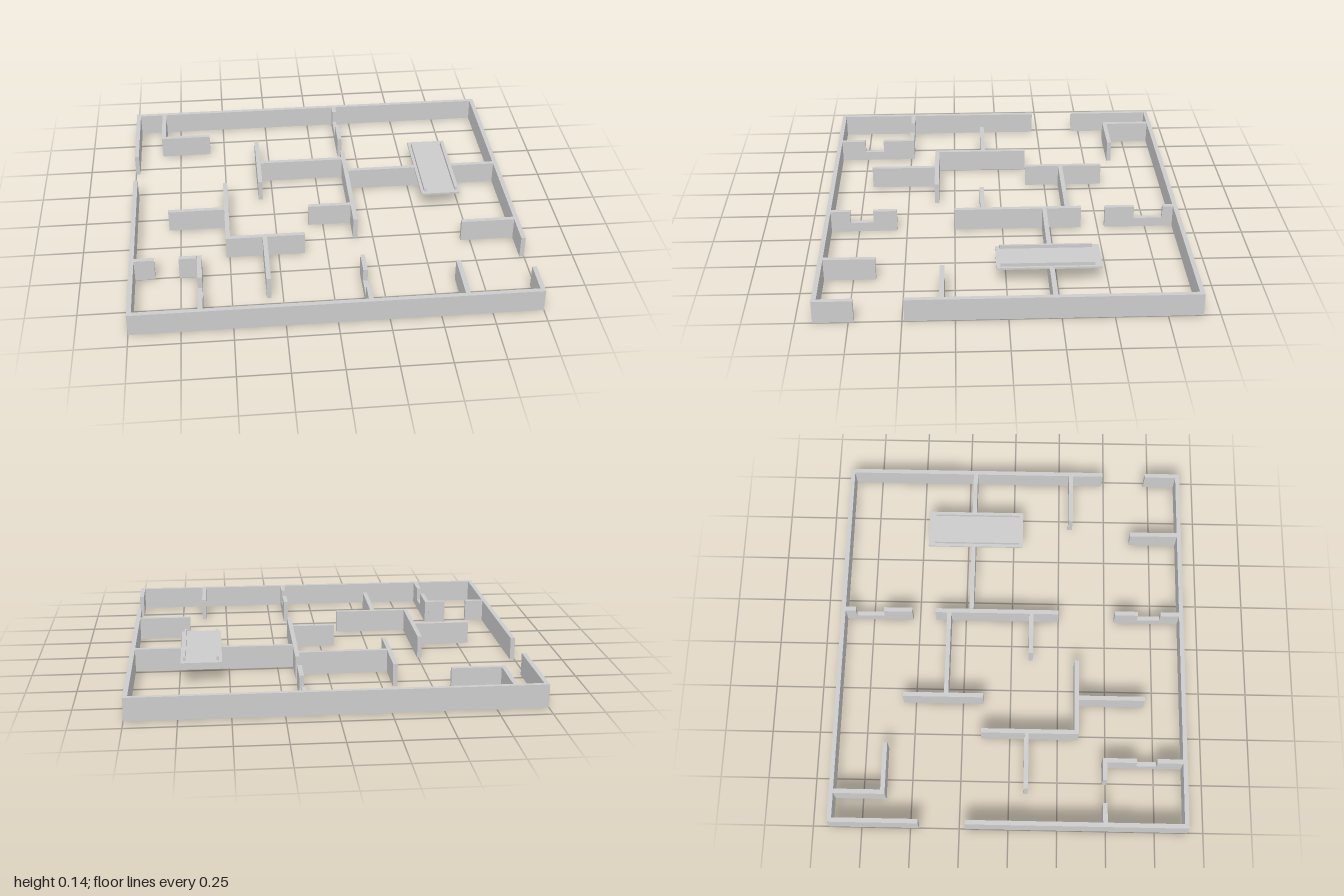
import * as THREE from 'three';

const HEIGHT = 0.117; // wall height
const THICK = 0.023; // wall thickness
const SILL = 0.05; // height of the wall under a window notch

export function createModel() {
  const model = new THREE.Group();
  const material = new THREE.MeshStandardMaterial({ color: 0xcccccc, flatShading: true });

  // Box given by its limits on each axis
  function block(name, x0, x1, y0, y1, z0, z1) {
    const mesh = new THREE.Mesh(new THREE.BoxGeometry(x1 - x0, y1 - y0, z1 - z0), material);
    mesh.name = name;
    mesh.position.set((x0 + x1) / 2, (y0 + y1) / 2, (z0 + z1) / 2);
    model.add(mesh);
  }
  // Wall running along x, centred on z
  const wallX = (name, z, x0, x1) =>
    block(name, x0, x1, 0, HEIGHT, z - THICK / 2, z + THICK / 2);
  // Wall running along z, centred on x
  const wallZ = (name, x, z0, z1, top = HEIGHT) =>
    block(name, x - THICK / 2, x + THICK / 2, 0, top, z0, z1);
  // Wall along z with a window notch between n0 and n1
  function windowWall(x, z0, n0, n1, z1) {
    wallZ('windowWall', x, z0, n0);
    wallZ('windowSill', x, n0, n1, SILL);
    wallZ('windowWall', x, n1, z1);
  }

  // Outer walls with a doorway on each side
  const W = 0.9885, D = 0.906, IN = 0.895;
  wallX('backWall', -D, -1, 1);
  wallX('frontWall', D, -1, 1);
  wallZ('rightOuterWall', -W, -IN, -0.457);
  wallZ('rightOuterWall', -W, -0.219, IN);
  wallZ('leftOuterWall', W, -IN, 0.489);
  wallZ('leftOuterWall', W, 0.725, IN);

  // Inner walls along x: z, start, end
  const alongX = [
    [-0.643, -0.829, -0.58],
    [-0.338, -0.305, 0.147],
    [-0.219, 0.17, 0.977],
    [0.087, -0.81, -0.518],
    [0.103, -0.077, 0.147],
    [0.346, -0.495, -0.114],
    [0.312, 0.702, 0.977],
    [0.493, -0.977, -0.877],
    [0.493, -0.756, -0.665],
  ];
  for (const w of alongX) wallX('innerWall', ...w);

  // Inner walls along z: x, start, end
  const alongZ = [
    [-0.84, -IN, -0.631],
    [-0.316, -0.564, -0.144],
    [0.158, -0.412, 0.249],
    [-0.506, -0.15, 0.358],
    [-0.319, 0.358, 0.703],
    [0.626, 0.639, IN],
  ];
  for (const w of alongZ) wallZ('innerWall', ...w);

  // Inner walls with window notches
  windowWall(0.158, -IN, -0.84, -0.69, -0.537);
  windowWall(0.158, 0.551, 0.674, 0.794, IN);
  windowWall(-0.653, 0.481, 0.658, 0.762, IN);

  // Bridge deck laid over the wall, with two side rails
  block('bridgeDeck', 0.536, 0.742, HEIGHT - 0.009, HEIGHT + 0.001, -0.465, 0.05);
  for (const x of [0.552, 0.717]) block('bridgeRail', x, x + 0.012, HEIGHT, 0.136, -0.43, 0.03);

  return model;
}
